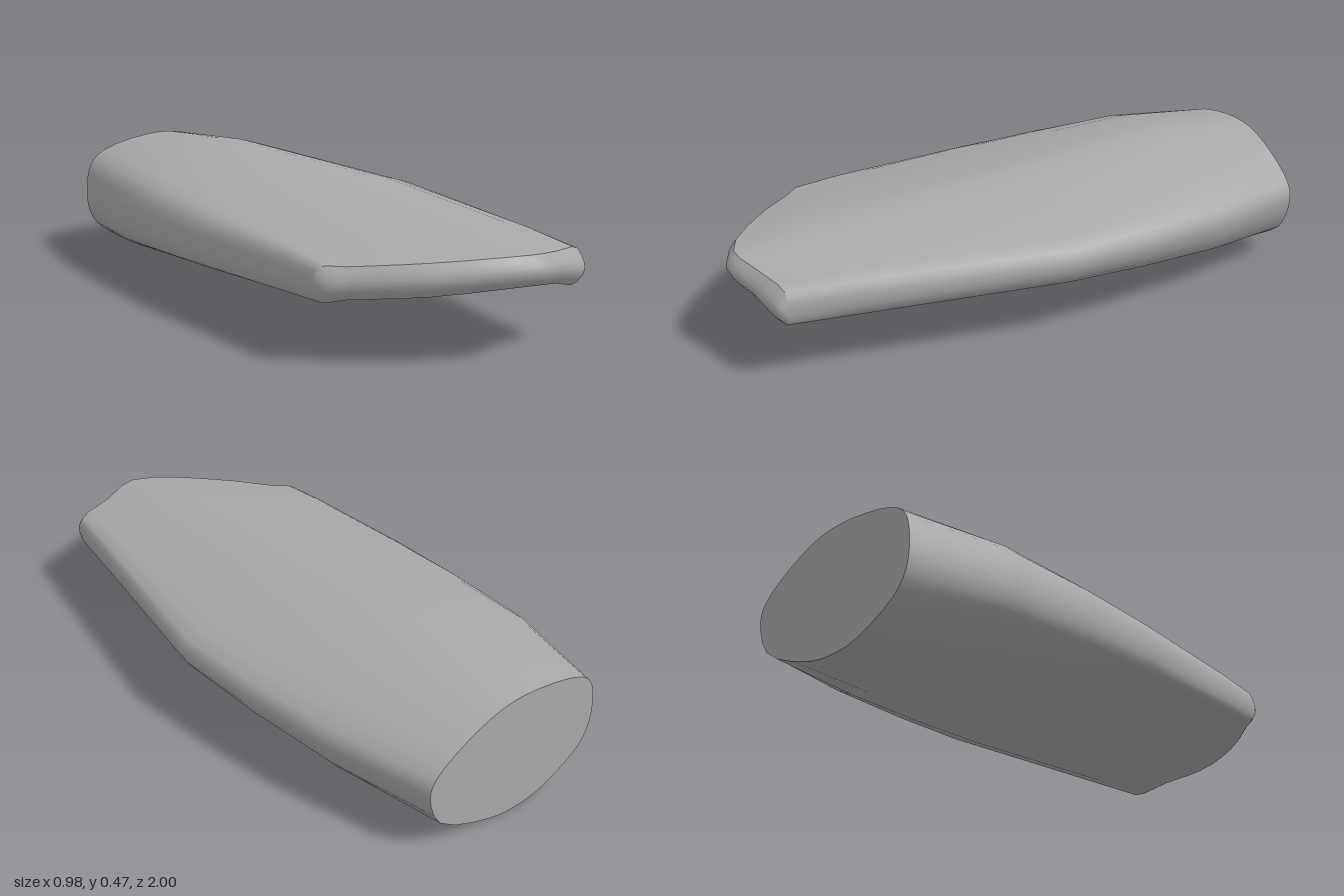
import * as THREE from 'three';

const STEPS = 3;
const v = (x, y, z) => new THREE.Vector3(x, y, z);

// Cross-sections start at +x and run over the top, then back underneath
const BACK = [[.30, .245], [.28, .30], [.17, .38], [.03, .435], [-.11, .44], [-.31, .395], [-.365, .345],
  [-.385, .25], [-.375, .16], [-.33, .095], [-.17, .012], [-.06, 0], [.04, .015], [.25, .115]];
const MIDDLE = [[.49, .265], [.47, .32], [.30, .385], [.05, .432], [-.07, .43], [-.37, .38], [-.455, .345],
  [-.485, .265], [-.47, .19], [-.42, .17], [-.24, .12], [-.03, .105], [.1, .11], [.44, .195]];

// Toe edge from +x to -x: x, z, upper height, lower height
const TOE = [[.345, .895, .262, .262], [.33, .895, .315, .205], [.2, .93, .335, .233], [.06, .97, .355, .26],
  [-.2, .815, .338, .235], [-.38, .65, .32, .218], [-.44, .595, .315, .21], [-.455, .585, .265, .265]];

// In-between section: blend of two others, widened and with its upper half lifted
function between(a, b, t, widen, lift) {
  return a.map((p, i) => {
    const q = p.clone().lerp(b[i], t);
    q.x *= 1 + widen;
    q.y += lift * Math.max(0, (q.y - .265) / .17);
    return q;
  });
}

// Smooth closed ring through one cross-section
function ring(points) {
  const curve = new THREE.CatmullRomCurve3(points, true, 'centripetal');
  return curve.getPoints(points.length * STEPS).slice(0, -1);
}

// Skin between successive rows of points
function skin(rows, closed) {
  const n = rows[0].length, index = [];
  for (let r = 0; r < rows.length - 1; r++) {
    for (let j = 0; j < (closed ? n : n - 1); j++) {
      const a = r * n + j, c = r * n + (j + 1) % n;
      index.push(a, c, a + n, c, c + n, a + n);
    }
  }
  const geo = new THREE.BufferGeometry().setFromPoints(rows.flat());
  geo.setIndex(index);
  geo.computeVertexNormals();
  return geo;
}

export function createModel() {
  const model = new THREE.Group();
  model.name = 'taperedBlock';
  const grey = new THREE.MeshStandardMaterial({ color: 0xa8a8a8 });
  grey.name = 'grey';
  const add = (name, geo) => {
    const mesh = new THREE.Mesh(geo, grey);
    mesh.name = name;
    model.add(mesh);
  };

  // Main body
  const back = BACK.map(([x, y]) => v(x, y, -1));
  const middle = MIDDLE.map(([x, y]) => v(x, y, -.02));
  const front = [
    ...TOE.map(([x, z, top]) => v(x, top, z)),
    ...TOE.slice(1, -1).reverse().map(([x, z, , bottom]) => v(x, bottom, z)),
  ];
  const rings = [
    back,
    between(back, middle, .36, .095, .028),
    between(back, middle, .7, .06, .016),
    middle,
    between(middle, front, .75, 0, .016),
    front,
  ].map(ring);
  add('body', skin(rings, true));

  // Rounded toe wall joining the upper and lower front edges
  const edge = rings[rings.length - 1], n = edge.length, wall = [];
  for (let r = 0; r <= 6; r++) {
    const row = [];
    for (let j = 0; j <= n / 2; j++) {
      const top = edge[j], bottom = edge[(n - j) % n];
      const p = top.clone().lerp(bottom, r / 6);
      p.z += .3 * top.distanceTo(bottom) * Math.sin(Math.PI * r / 6);
      row.push(p);
    }
    wall.push(row);
  }
  add('toeWall', skin(wall, false));

  // Flat back end
  const outline = new THREE.Shape(rings[0].map(p => new THREE.Vector2(-p.x, p.y)));
  const cap = new THREE.ShapeGeometry(outline);
  cap.rotateY(Math.PI);
  cap.translate(0, 0, -1);
  add('backEnd', cap);

  return model;
}
